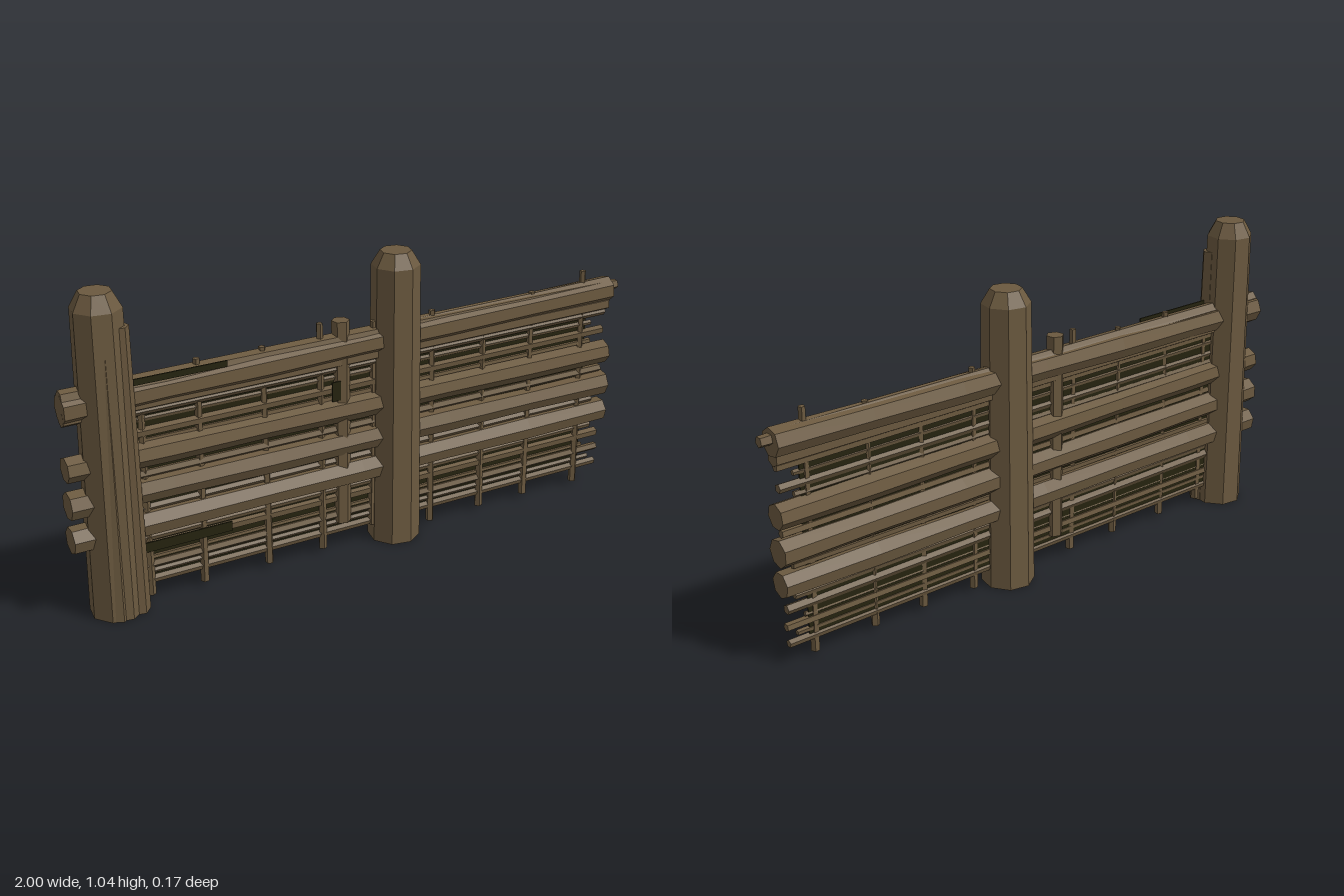
import * as THREE from 'three';

export function createModel() {
  const root = new THREE.Group();
  root.name = 'rusticFence';
  const wood = new THREE.MeshStandardMaterial({ color: 0x6b593f, flatShading: true });
  wood.name = 'weatheredWood';
  const dark = new THREE.MeshStandardMaterial({ color: 0x25230f, flatShading: true, side: THREE.DoubleSide });
  dark.name = 'darkWattle';

  const add = (name, geometry, material = wood) => {
    const mesh = new THREE.Mesh(geometry, material);
    mesh.name = name;
    root.add(mesh);
    return mesh;
  };

  // Rough faceted pole from a to b; wobble bends its middle rings
  const up = new THREE.Vector3(0, 1, 0);
  function pole(name, a, b, ra, rb, sides, turn = 0, wobble = 0) {
    const start = new THREE.Vector3(...a), end = new THREE.Vector3(...b);
    const dir = end.clone().sub(start), len = dir.length();
    const geo = new THREE.CylinderGeometry(rb, ra, len, sides, wobble ? 6 : 1);
    geo.rotateY(turn);
    const p = geo.attributes.position;
    for (let i = 0; i < p.count; i++) {
      const t = p.getY(i) / len + 0.5;
      const s = 1 + wobble * Math.sin(t * 17 + turn * 5);
      p.setX(i, p.getX(i) * s);
      p.setZ(i, p.getZ(i) * s);
    }
    const mesh = add(name, geo);
    mesh.quaternion.setFromUnitVectors(up, dir.normalize());
    mesh.position.copy(start.add(end).multiplyScalar(0.5));
  }

  // Posts with bevelled tops
  function post(name, x, shoulder, top, r, turn) {
    const profile = [[0, 0], [r, 0], [r * 0.9, shoulder], [r * 0.58, top], [0, top]]
      .map(([px, py]) => new THREE.Vector2(px, py));
    const geo = new THREE.LatheGeometry(profile, 8);
    geo.rotateY(turn);
    add(name, geo).position.x = x;
  }
  post('rightPost', -0.87, 0.985, 1.035, 0.086, 0.25);
  post('leftPost', 0.117, 0.95, 0.996, 0.087, 0.2);

  // Split strips along the taller post
  pole('postSplinter', [-0.815, 0, 0.035], [-0.818, 0.93, 0.032], 0.038, 0.03, 6, 0.3);
  pole('postSplinter', [-0.885, 0, 0.05], [-0.882, 0.85, 0.045], 0.036, 0.028, 6, 0.1);

  // Heavy rails: left y, right y, radius
  [[0.695, 0.722, 0.045], [0.503, 0.492, 0.042], [0.385, 0.375, 0.044], [0.27, 0.272, 0.044]]
    .forEach(([y0, y1, r], i) =>
      pole('rail', [-1, y0, -0.002], [0.965, y1, -0.002], r, r, 7, 0.4 + i * 0.7, 0.05));
  pole('topRail', [-1, 0.73, 0], [0.96, 0.73, 0], 0.026, 0.033, 6, 0.2);
  pole('underRail', [-1, 0.667, 0], [0.96, 0.672, 0], 0.027, 0.027, 6, 0.5);
  pole('railPeg', [0.94, 0.732, 0], [1, 0.732, 0], 0.02, 0.018, 5, 0.3);

  // Thin woven rods: y, end x, radius
  [[0.642, 0.955, 0.014], [0.61, 0.9, 0.009], [0.575, 0.95, 0.015], [0.543, 0.9, 0.01],
    [0.432, 0.95, 0.014], [0.322, 0.92, 0.012], [0.222, 0.92, 0.012], [0.186, 0.95, 0.016],
    [0.15, 0.89, 0.008], [0.128, 0.955, 0.014], [0.098, 0.92, 0.009], [0.072, 0.95, 0.013]]
    .forEach(([y, x, r], i) =>
      pole('rod', [-0.84, y + 0.004 * Math.sin(i * 2), 0.003 * Math.cos(i * 3)], [x, y, 0], r, r, 5, i));

  // Upright sticks: x, bottom, top
  [[-0.757, 0.022, 0.7], [-0.577, 0.018, 0.77], [-0.35, 0.02, 0.765], [-0.155, 0.02, 0.803],
    [0.03, 0.06, 0.775], [0.257, 0.015, 0.772], [0.455, 0.02, 0.75], [0.64, 0.02, 0.766], [0.858, 0.015, 0.803]]
    .forEach(([x, y0, y1], i) =>
      pole('stick', [x, y0, 0.004], [x + 0.006 * Math.sin(i * 2), y1, 0], 0.014, 0.011, 5, i * 0.8));
  pole('thickStick', [-0.08, 0.1, 0], [-0.082, 0.8, 0], 0.03, 0.029, 6, 0.2);

  // Dark filling behind the rods, and dark slivers on the surface
  function plate(name, x0, x1, y0, y1, z) {
    add(name, new THREE.BoxGeometry(x1 - x0, y1 - y0, 0.005), dark)
      .position.set((x0 + x1) / 2, (y0 + y1) / 2, z);
  }
  plate('wattleFilling', -0.8, 0.88, 0.075, 0.68, -0.003);
  plate('darkSliver', -0.79, -0.485, 0.737, 0.757, 0.031);
  plate('darkSliver', -0.79, -0.485, 0.18, 0.212, 0.022);
  plate('darkSliver', -0.125, -0.095, 0.54, 0.605, 0.022);

  return root;
}
